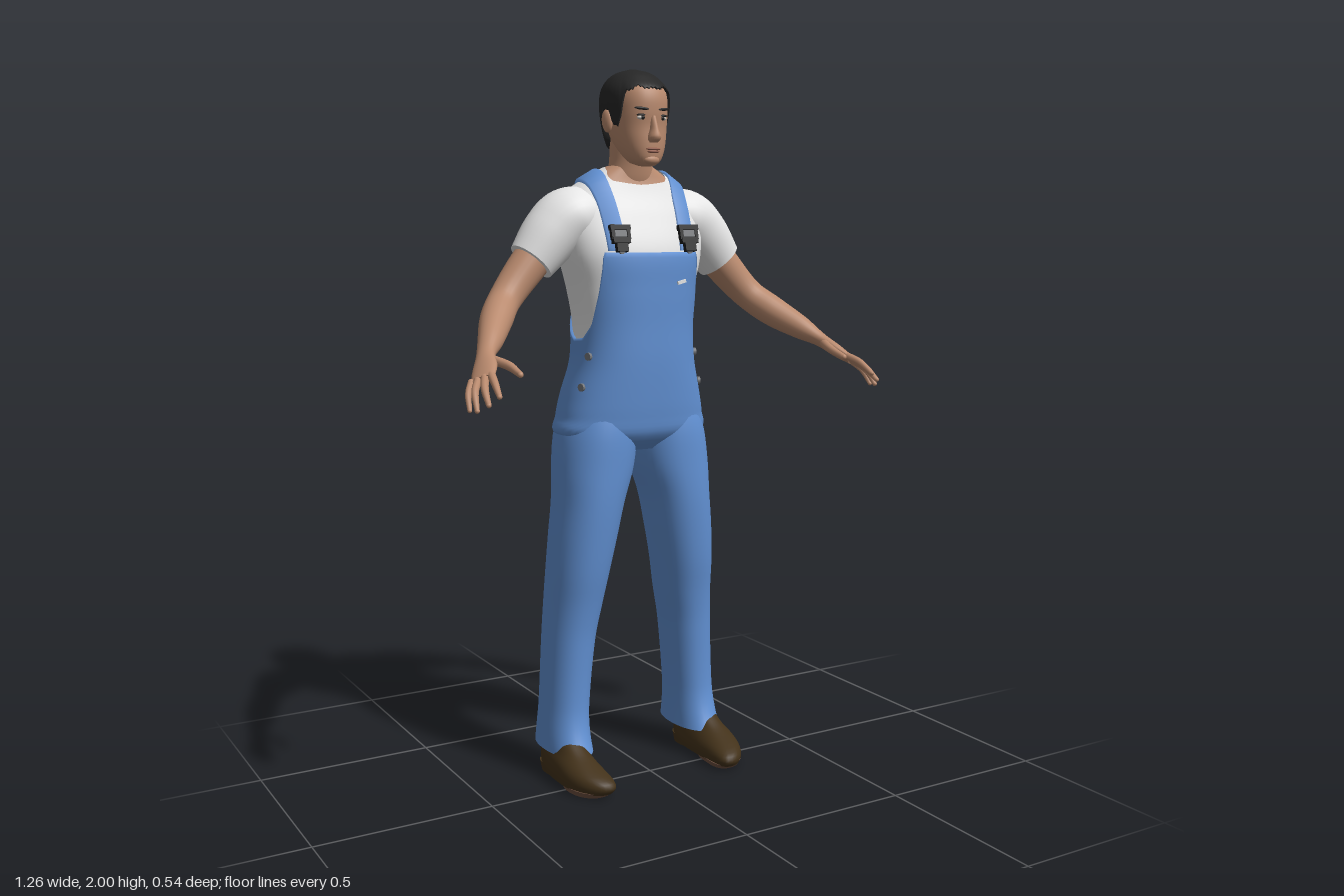
import * as THREE from 'three';

const V = (x, y, z) => new THREE.Vector3(x, y, z);
const paint = (name, color) => Object.assign(new THREE.MeshStandardMaterial({ color }), { name });

// Row of a table at key t: smooth (Hermite) or straight between rows
function at(rows, t, smooth = true) {
  let i = 0;
  while (i < rows.length - 2 && t > rows[i + 1][0]) i++;
  const a = rows[i], b = rows[i + 1], p = rows[Math.max(i - 1, 0)], n = rows[Math.min(i + 2, rows.length - 1)];
  const h = b[0] - a[0], s = THREE.MathUtils.clamp((t - a[0]) / h, 0, 1);
  return a.map((_, k) => {
    if (!smooth) return a[k] + (b[k] - a[k]) * s;
    const m0 = (b[k] - p[k]) / (b[0] - p[0]) * h, m1 = (n[k] - a[k]) / (n[0] - a[0]) * h;
    const s2 = s * s, s3 = s2 * s;
    return (2 * s3 - 3 * s2 + 1) * a[k] + (s3 - 2 * s2 + s) * m0 + (3 * s2 - 2 * s3) * b[k] + (s3 - s2) * m1;
  });
}

// Upright body from rows [y, xMin, xMax, zBack, zFront] with superellipse sections
const body = (rows, e = 0.9) => (a, y, off = 0) => {
  const [, x0, x1, z0, z1] = at(rows, y), s = Math.sin(a), c = Math.cos(a);
  const pw = v => Math.sign(v) * Math.abs(v) ** e;
  return V((x0 + x1) / 2 + (x1 - x0) / 2 * pw(s) + off * s, y, (z0 + z1) / 2 + (z1 - z0) / 2 * pw(c) + off * c);
};

// Surface from f(u, angle, row); rings are closed unless open, ends may be capped
function grid(rows, cols, f, { caps = true, open = false } = {}) {
  const pos = [], idx = [], w = open ? cols + 1 : cols;
  for (let i = 0; i <= rows; i++) for (let j = 0; j < w; j++) pos.push(...f(i / rows, j / cols * Math.PI * 2, i).toArray());
  for (let i = 0; i < rows; i++) for (let j = 0; j < cols; j++) {
    const k = (j + 1) % w, a = i * w + j, b = i * w + k, c = b + w, d = a + w;
    idx.push(a, b, c, a, c, d);
  }
  if (caps && !open) for (const r of [0, rows]) {
    const ring = pos.slice(r * w * 3, (r + 1) * w * 3), base = pos.length / 3, mid = [0, 0, 0];
    ring.forEach((v, k) => { mid[k % 3] += v / w; });
    pos.push(...ring, ...mid);
    for (let j = 0; j < w; j++) {
      const k = (j + 1) % w;
      idx.push(base + w, ...(r ? [base + j, base + k] : [base + k, base + j]));
    }
  }
  const g = new THREE.BufferGeometry();
  g.setAttribute('position', new THREE.Float32BufferAttribute(pos, 3));
  g.setIndex(idx);
  g.computeVertexNormals();
  return g;
}

const loft = (rows, n, cols, e) => {
  const f = body(rows, e), y0 = rows[0][0], y1 = rows[rows.length - 1][0];
  return grid(n, cols, (u, a) => f(a, y0 + (y1 - y0) * u));
};

// Limb through points [x, y, z, width, thickness]; ref is the thickness direction
function limb(pts, n, cols, ref) {
  const curve = new THREE.CatmullRomCurve3(pts.map(p => V(p[0], p[1], p[2])));
  const radii = pts.map((p, i) => [i / (pts.length - 1), p[3], p[4] ?? p[3]]);
  return grid(n, cols, (u, a) => {
    const d = curve.getTangent(u), c = ref.clone().addScaledVector(d, -ref.dot(d)).normalize();
    const s = d.clone().cross(c), [, r1, r2] = at(radii, u);
    return curve.getPoint(u).addScaledVector(s, Math.sin(a) * r1).addScaledVector(c, Math.cos(a) * r2);
  });
}

function mirror(geo) {
  const g = geo.clone().scale(-1, 1, 1), ix = g.index.array;
  for (let i = 0; i < ix.length; i += 3) [ix[i], ix[i + 1]] = [ix[i + 1], ix[i]];
  return g;
}

const blob = (x, y, z, rx, ry, rz) => new THREE.SphereGeometry(1, 20, 14).scale(rx, ry, rz).translate(x, y, z);
const degrees = a => { const d = a * 180 / Math.PI; return d > 180 ? 360 - d : d; };

export function createModel() {
  const man = new THREE.Group();
  man.name = 'man';
  const denim = paint('denim blue', 0x6190d2), white = paint('shirt white', 0xe6e6e6), skin = paint('skin', 0xb98a6e);
  const hairMat = paint('hair black', 0x262626), leather = paint('shoe brown', 0x43321a), soleMat = paint('sole brown', 0x6e5040);
  const black = paint('buckle black', 0x1c1c1c), metal = paint('metal grey', 0x77797c);
  const lipMat = paint('lips', 0x94604f), eyeMat = paint('eye white', 0xcfc8c0);
  denim.side = white.side = hairMat.side = THREE.DoubleSide;
  const add = (name, geo, mat) => {
    const m = new THREE.Mesh(geo, mat);
    m.name = name;
    man.add(m);
    return m;
  };
  const both = (name, geo, mat) => { add('left ' + name, geo, mat); add('right ' + name, mirror(geo), mat); };

  // Torso shape shared by shirt, chest and overalls
  const torso = body([
    [0.945, -.11, .11, -.19, -.04], [0.99, -.215, .215, -.245, .002], [1.04, -.213, .213, -.25, .012],
    [1.1, -.2, .2, -.248, .018], [1.2, -.174, .174, -.23, .024], [1.3, -.17, .17, -.234, .025],
    [1.4, -.185, .185, -.246, .027], [1.5, -.21, .21, -.254, .024], [1.6, -.22, .22, -.25, -.012],
    [1.66, -.19, .19, -.232, -.04], [1.7, -.135, .135, -.205, -.054], [1.74, -.066, .066, -.17, -.06]], 0.8);
  const collar = [[0, 1.685], [30, 1.695], [60, 1.722], [90, 1.734], [180, 1.738]];
  const shirt = add('shirt body', grid(36, 72, (u, a) =>
    torso(a, 1.22 + u * (at(collar, degrees(a), false)[1] - 1.22)), { caps: false }), white);
  add('upper chest', grid(8, 48, (u, a) => torso(a, 1.62 + u * .118, -.006)), skin);
  both('sleeve', limb([[.12, 1.595, -.13, .08, .09], [.185, 1.59, -.13, .088, .098],
    [.24, 1.55, -.126, .083, .084], [.305, 1.475, -.122, .067, .064]], 20, 32, V(0, 0, 1)), white);

  // Overalls: bib at the front, low sides, tapering panel at the back
  const hem = [[0, 1.5], [39, 1.5], [41, 1.47], [51, 1.39], [66, 1.3], [80, 1.265], [95, 1.26], [115, 1.29],
    [144, 1.35], [160, 1.4], [168, 1.46], [171, 1.53], [174, 1.55], [180, 1.52]];
  add('overalls body', grid(40, 144, (u, a, i) => torso(a,
    .945 + Math.min(1, i / 39) * (at(hem, degrees(a), false)[1] - .945), i === 40 ? -.004 : .007)), denim).geometry
    .copy(grid(40, 144, (u, a, i) => torso(a,
      .945 + Math.min(1, i / 39) * (at(hem, degrees(a), false)[1] - .945), i === 40 ? -.004 : .007), { caps: false }));
  both('trouser leg', loft([
    [.08, .148, .282, -.255, -.005], [.13, .148, .28, -.242, -.03], [.2, .145, .275, -.232, -.045],
    [.4, .125, .266, -.23, -.04], [.5, .106, .261, -.23, -.028], [.6, .088, .257, -.226, -.01],
    [.7, .067, .25, -.226, .002], [.8, .045, .24, -.23, .01], [.9, .012, .236, -.242, .012],
    [1, 0, .222, -.25, .01], [1.08, .01, .19, -.225, -.005]], 40, 40, .92), denim);

  // Straps laid over the shoulders by casting rays onto the shirt
  const ray = new THREE.Raycaster();
  const lay = [[0, .11], [60, .118], [90, .127], [125, .095], [155, .058], [180, .032]];
  const strap = grid(40, 3, (u, t) => {
    const deg = 2 + u * 178, a = deg * Math.PI / 180, j = Math.round(t / (Math.PI * 2) * 3);
    const dir = V(0, Math.sin(a), Math.cos(a)), x = at(lay, deg)[1] + (j < 2 ? -.023 : .023);
    ray.set(V(x, 1.5, -.115).addScaledVector(dir, 1), dir.clone().negate());
    const hit = ray.intersectObject(shirt)[0];
    const p = hit ? hit.point : V(x, 1.5, -.115).addScaledVector(dir, .19);
    return p.addScaledVector(dir, j % 3 ? .011 : -.004);
  }, { open: true });
  both('strap', strap, denim);

  // Buckles, each a clip with a metal plate and a button below
  const clip = (name, w, h, d, y, z, mat) =>
    both(name, new THREE.BoxGeometry(w, h, d).translate(0, y, z).rotateX(-.25).translate(.108, 1.54, .028), mat);
  clip('buckle top bar', .062, .014, .014, .028, 0, black);
  for (const s of [-1, 1]) clip('buckle side', .01, .03, .012, .01, 0, black), man.children.slice(-2).forEach((m, k) => { m.position.x = s * .024 * (k ? -1 : 1); });
  clip('buckle plate', .036, .018, .01, .011, 0, metal);
  clip('buckle clasp', .052, .016, .016, -.008, 0, black);
  clip('buckle tongue', .034, .026, .014, -.026, 0, black);
  const button = (name, p, n, r) => both(name, new THREE.CylinderGeometry(r, r, .008, 16)
    .applyQuaternion(new THREE.Quaternion().setFromUnitVectors(V(0, 1, 0), n)).translate(p.x, p.y, p.z), metal);
  button('bib button', V(.108, 1.505, .034), V(0, 0, 1), .009);
  for (const y of [1.215, 1.13]) button('hip button', torso(1.2, y, .01), V(.95, 0, .31), .011);
  add('pocket tag', new THREE.BoxGeometry(.026, .009, .006).rotateZ(.25).translate(.082, 1.418, .034), white);

  // Arms run into the palms, then fingers
  const palmUp = V(.61, .78, .19).normalize();
  both('arm', limb([[.25, 1.535, -.125, .054], [.31, 1.47, -.125, .053], [.395, 1.375, -.1, .045],
    [.445, 1.325, -.045, .044], [.495, 1.278, .03, .034], [.532, 1.243, .082, .026, .02],
    [.555, 1.214, .128, .035, .017], [.577, 1.19, .165, .034, .011]], 44, 24, palmUp), skin);
  const fingers = {
    thumb: [[.528, 1.236, .1], [.505, 1.222, .165], [.503, 1.205, .228], .013],
    'index finger': [[.556, 1.203, .17], [.568, 1.187, .218], [.576, 1.158, .264], .011],
    'middle finger': [[.571, 1.197, .165], [.592, 1.172, .212], [.601, 1.138, .256], .011],
    'ring finger': [[.585, 1.19, .155], [.61, 1.163, .193], [.619, 1.122, .226], .0105],
    'little finger': [[.596, 1.185, .14], [.618, 1.157, .17], [.626, 1.12, .196], .0095] };
  for (const [name, [a, b, c, r]] of Object.entries(fingers)) {
    both(name, limb([[...a, r], [...b, r * .9], [...c, r * .6]], 10, 10, palmUp), skin);
    both(name + ' tip', blob(...c, r * .6, r * .6, r * .6), skin);
  }

  // Neck and head
  add('neck', loft([[1.66, -.074, .074, -.18, -.07], [1.7, -.072, .072, -.175, -.057], [1.74, -.063, .063, -.167, -.05],
    [1.8, -.06, .06, -.165, -.04], [1.85, -.055, .055, -.16, -.04]], 14, 36, 1), skin);
  add('head', loft([[1.735, -.02, .02, -.04, .002], [1.745, -.039, .039, -.075, .013], [1.77, -.056, .056, -.11, .018],
    [1.8, -.067, .067, -.14, .019], [1.84, -.075, .075, -.165, .018], [1.88, -.078, .078, -.178, .022],
    [1.92, -.078, .078, -.182, .02], [1.95, -.07, .07, -.172, .005], [1.98, -.04, .04, -.14, -.04]], 28, 48, .88), skin);
  add('nose', loft([[1.796, -.012, .012, 0, .032], [1.807, -.018, .018, 0, .045], [1.832, -.011, .011, 0, .038],
    [1.868, -.008, .008, 0, .024]], 12, 18, 1), skin);
  add('upper lip', blob(0, 1.779, .018, .023, .004, .008), lipMat);
  add('lower lip', blob(0, 1.772, .018, .019, .0045, .007), lipMat);
  add('chin', blob(0, 1.75, .007, .024, .013, .013), skin);
  both('eye', blob(.032, 1.862, .01, .014, .006, .007), eyeMat);
  both('iris', blob(.031, 1.862, .0145, .0058, .0058, .004), black);
  both('upper eyelid', blob(.032, 1.869, .011, .016, .0035, .008), hairMat);
  both('eyebrow', blob(0, 0, 0, .021, .004, .005).rotateZ(.08).rotateY(.25).translate(.034, 1.886, .015), hairMat);
  both('ear', blob(0, 0, 0, .01, .032, .019).rotateX(-.15).rotateY(-.25).translate(.087, 1.857, -.085), skin);

  // Short hair with sideburns and a slightly ragged hairline
  const hairShape = body([[1.78, -.067, .067, -.172, 0], [1.82, -.079, .079, -.186, .01], [1.86, -.086, .086, -.196, .02],
    [1.9, -.09, .09, -.2, .027], [1.94, -.086, .086, -.197, .02], [1.97, -.07, .07, -.178, -.012],
    [1.99, -.045, .045, -.148, -.045], [2, -.01, .01, -.115, -.085]], .92);
  const hairline = [[0, 1.94], [30, 1.945], [52, 1.93], [60, 1.87], [66, 1.845], [78, 1.845], [84, 1.89],
    [102, 1.885], [110, 1.82], [125, 1.795], [180, 1.785]];
  add('hair', grid(24, 96, (u, a, i) => {
    const low = at(hairline, degrees(a), false)[1] + .005 * Math.sin(a * 31) * Math.sin(a * 17);
    return hairShape(a, low + Math.max(0, i - 1) / 23 * (2 - low), i ? 0 : -.016);
  }, { caps: false }), hairMat);
  add('hair crown', blob(0, 1.994, -.1, .022, .006, .026), hairMat);

  // Shoes, with toes drawn inward
  const shoePart = (name, rows, mat) => {
    const g = loft(rows, 14, 40, .84), p = g.attributes.position;
    for (let i = 0; i < p.count; i++) p.setX(i, p.getX(i) - 1.5 * Math.max(0, p.getZ(i)) ** 2);
    g.computeVertexNormals();
    both(name, g, mat);
  };
  shoePart('shoe', [[.012, .17, .283, -.198, .118], [.03, .166, .287, -.205, .13], [.05, .169, .286, -.206, .115],
    [.07, .176, .281, -.205, .065], [.09, .184, .272, -.202, .015], [.12, .19, .264, -.19, -.035]], leather);
  shoePart('sole', [[0, .178, .276, -.06, .1], [.016, .172, .281, -.07, .116]], soleMat);
  shoePart('heel', [[0, .184, .27, -.198, -.09], [.03, .178, .276, -.203, -.085]], leather);
  return man;
}
